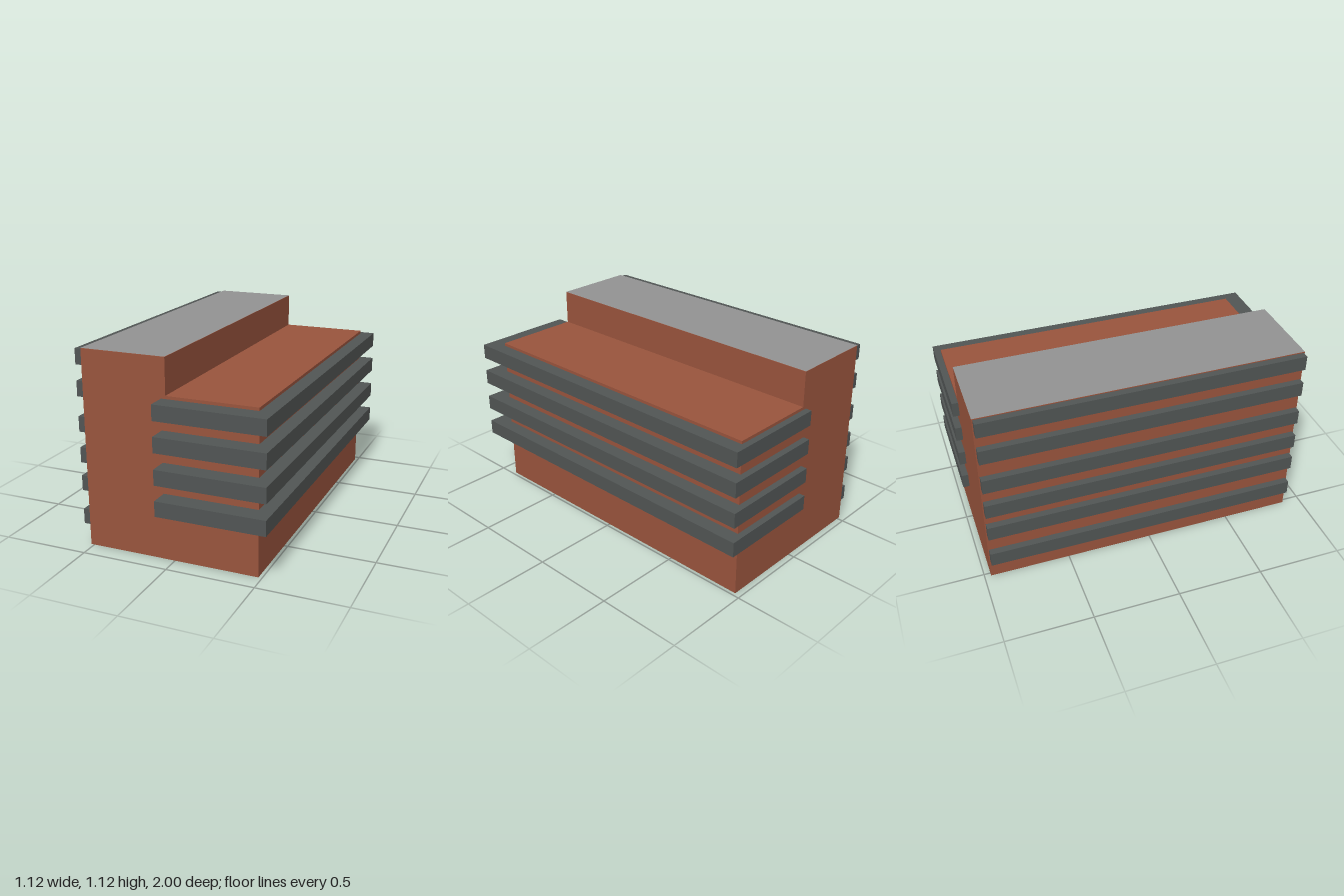
import * as THREE from 'three';

const material = (color) => new THREE.MeshStandardMaterial({ color, flatShading: true });

export function createModel() {
  const model = new THREE.Group();
  const brick = material(0x99543d);
  const darkGrey = material(0x515554);
  const roofGrey = material(0x929292);
  const zBack = -0.963, zFront = 0.892;

  // Box given by its minimum and maximum corners
  function box(name, mat, [x0, y0, z0], [x1, y1, z1]) {
    const mesh = new THREE.Mesh(new THREE.BoxGeometry(x1 - x0, y1 - y0, z1 - z0), mat);
    mesh.position.set((x0 + x1) / 2, (y0 + y1) / 2, (z0 + z1) / 2);
    mesh.name = name;
    model.add(mesh);
  }

  // Stepped brick building: tall block and lower wing in one profile
  const profile = new THREE.Shape([
    [-0.52, 0], [0.48, 0], [0.48, 0.918], [-0.032, 0.918], [-0.032, 1.12], [-0.52, 1.12],
  ].map(([x, y]) => new THREE.Vector2(x, y)));
  const body = new THREE.Mesh(
    new THREE.ExtrudeGeometry(profile, { depth: zFront - zBack, bevelEnabled: false }), brick);
  body.position.z = zBack;
  body.name = 'building';
  model.add(body);

  // Flat roof covering on the tall block
  const roof = new THREE.Mesh(new THREE.PlaneGeometry(0.488, zFront - zBack), roofGrey);
  roof.rotation.x = -Math.PI / 2;
  roof.position.set(-0.276, 1.1215, (zFront + zBack) / 2);
  roof.name = 'roof';
  model.add(roof);

  // Balcony bands wrapping three sides of the lower wing
  [0.292, 0.466, 0.643, 0.814].forEach((y, i) =>
    box(`balconyBand${i + 1}`, darkGrey, [-0.057, y, -1], [0.56, y + 0.087, 1]));

  // Narrow ledges along the side of the tall block
  [0.118, 0.316, 0.479, 0.655, 0.853, 1.028].forEach((y, i) =>
    box(`sideLedge${i + 1}`, darkGrey, [-0.56, y, -0.957], [-0.515, y + 0.087, 0.886]));

  return model;
}
